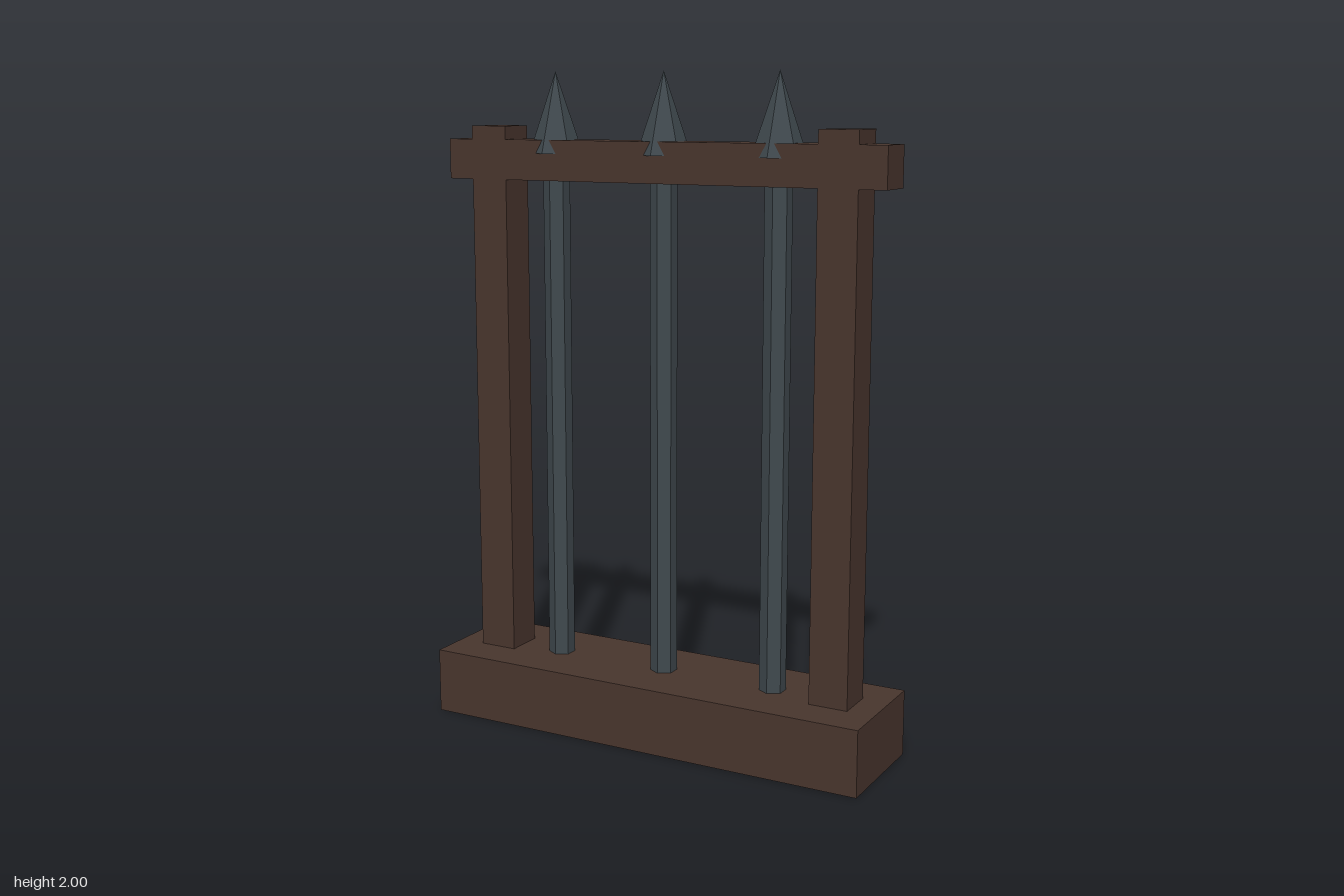
import * as THREE from 'three';

export function createModel() {
  const wood = new THREE.MeshStandardMaterial({ color: 0x48352d });
  wood.name = 'darkWood';
  const iron = new THREE.MeshStandardMaterial({ color: 0x40494e, flatShading: true });
  iron.name = 'iron';

  const model = new THREE.Group();
  model.name = 'spikedFence';

  const add = (name, geometry, material, x, y, parent = model) => {
    const mesh = new THREE.Mesh(geometry, material);
    mesh.name = name;
    mesh.position.set(x, y, 0);
    parent.add(mesh);
  };

  // Wooden frame: base block, top rail and two posts
  add('base', new THREE.BoxGeometry(1.426, 0.2, 0.364), wood, 0, 0.1);
  add('topRail', new THREE.BoxGeometry(1.426, 0.12, 0.12), wood, 0, 1.74);
  const post = new THREE.BoxGeometry(0.12, 1.64, 0.12);
  add('rightPost', post, wood, -0.57, 1.02);
  add('leftPost', post, wood, 0.57, 1.02);

  // Six-sided iron bars with spear points piercing the rail
  const bar = new THREE.CylinderGeometry(0.04, 0.04, 1.77, 6);
  const tip = new THREE.ConeGeometry(0.08, 0.24, 6);
  for (const [side, x] of [['right', -0.367], ['middle', 0], ['left', 0.367]]) {
    const spear = new THREE.Group();
    spear.name = side + 'Spear';
    spear.position.x = x;
    add(side + 'Bar', bar, iron, 0, 0.89, spear);
    add(side + 'SpearTip', tip, iron, 0, 1.88, spear);
    model.add(spear);
  }
  return model;
}
